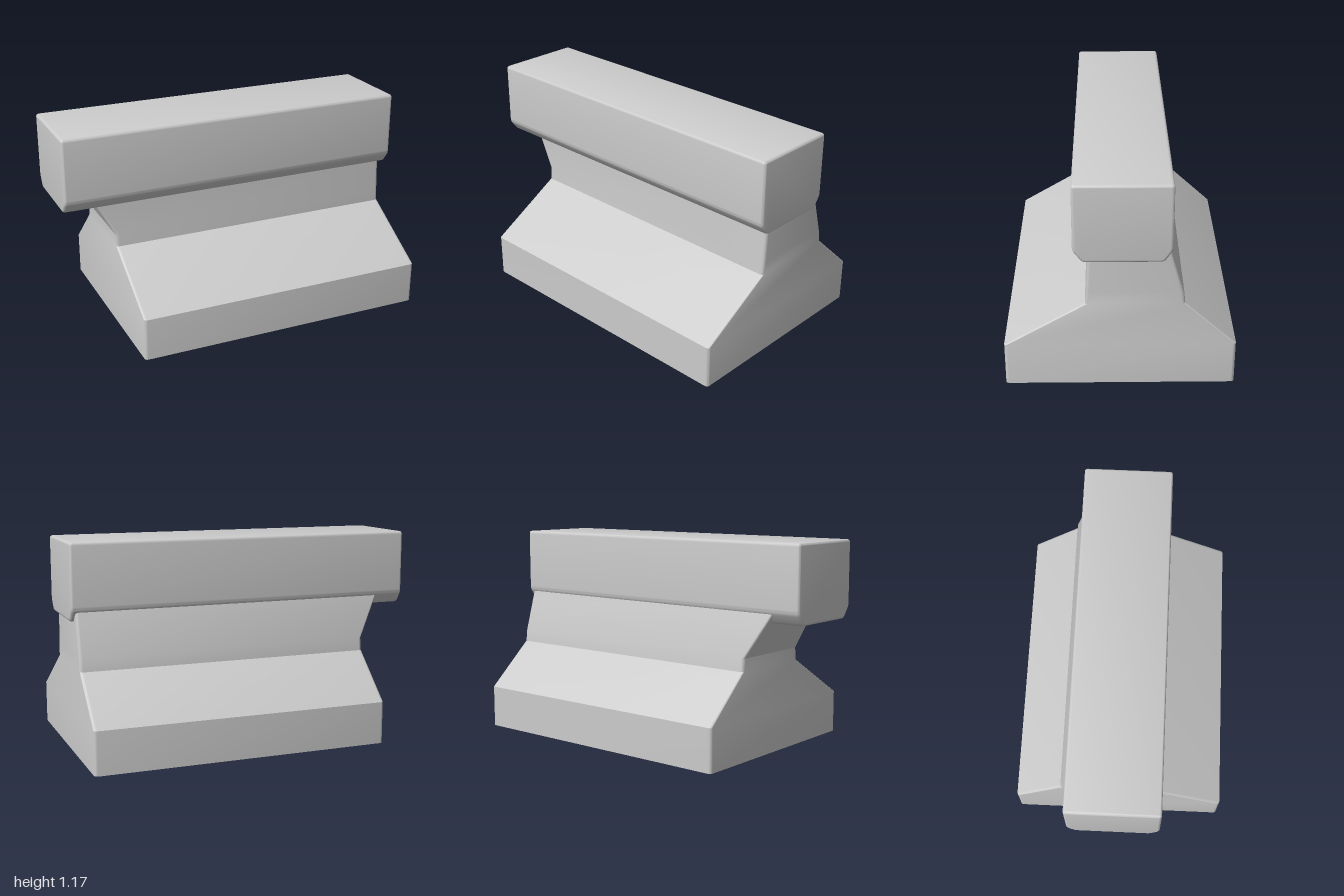
import * as THREE from 'three';
import { toCreasedNormals } from 'three/addons/utils/BufferGeometryUtils.js';

const material = new THREE.MeshStandardMaterial({ color: 0xcccccc });

// Horizontal rounded-rectangle ring at height y, running from +x towards +z
function ring([y, x0, x1, z0, z1], r = 0.018, steps = 4) {
  const centres = [[x1 - r, z1 - r], [x0 + r, z1 - r], [x0 + r, z0 + r], [x1 - r, z0 + r]];
  const points = [];
  centres.forEach(([cx, cz], corner) => {
    for (let i = 0; i <= steps; i++) {
      const a = (corner + i / steps) * Math.PI / 2;
      points.push([cx + r * Math.cos(a), y, cz + r * Math.sin(a)]);
    }
  });
  return points;
}

// Closed solid through a stack of rings
function loft(levels) {
  const rings = levels.map((l) => ring(l));
  const n = rings[0].length;
  const positions = rings.flat(2);
  const index = [];
  for (let k = 0; k < rings.length - 1; k++) {
    for (let i = 0; i < n; i++) {
      const j = (i + 1) % n, a = k * n, b = a + n;
      index.push(a + i, b + i, a + j, a + j, b + i, b + j);
    }
  }
  const top = (rings.length - 1) * n;
  for (let i = 1; i < n - 1; i++) {
    index.push(0, i, i + 1, top, top + i + 1, top + i);
  }
  const geometry = new THREE.BufferGeometry();
  geometry.setAttribute('position', new THREE.Float32BufferAttribute(positions, 3));
  geometry.setIndex(index);
  return toCreasedNormals(geometry, 0.44);
}

// Polygon with every corner softened
function softShape(points, r) {
  const v = points.map((p) => new THREE.Vector2(...p));
  const shape = new THREE.Shape();
  v.forEach((p, i) => {
    const before = v[(i + v.length - 1) % v.length], after = v[(i + 1) % v.length];
    const a = p.clone().add(before.clone().sub(p).setLength(r));
    const b = p.clone().add(after.clone().sub(p).setLength(r));
    if (i === 0) shape.moveTo(a.x, a.y); else shape.lineTo(a.x, a.y);
    shape.quadraticCurveTo(p.x, p.y, b.x, b.y);
  });
  shape.closePath();
  return shape;
}

export function createModel() {
  const group = new THREE.Group();
  const add = (name, geometry) => {
    const mesh = new THREE.Mesh(geometry, material);
    mesh.name = name;
    group.add(mesh);
  };

  // Pedestal: plinth, sloped shoulders and a neck flaring out at one end
  // each level: y, xMin, xMax, zMin, zMax
  add('pedestal', loft([
    [0, -0.705, 0.977, -0.605, 0.605],
    [0.24, -0.705, 0.977, -0.605, 0.605],
    [0.49, -0.705, 0.977, -0.333, 0.181],
    [0.56, -0.705, 0.977, -0.325, 0.177],
    [0.745, -0.808, 0.977, -0.271, 0.166],
    [0.80, -0.838, 0.977, -0.255, 0.163],
  ]));

  // Top beam: long block with chamfered lower edges and softened ends
  const bevel = 0.015;
  const profile = softShape([
    [-0.24, 0.81], [-0.19, 0.745], [0.22, 0.745],
    [0.264, 0.81], [0.264, 1.172], [-0.24, 1.172],
  ], 0.018);
  const beam = new THREE.ExtrudeGeometry(profile, {
    depth: 2 - 2 * bevel, curveSegments: 4, bevelEnabled: true,
    bevelThickness: bevel, bevelSize: bevel, bevelOffset: -bevel, bevelSegments: 4,
  });
  beam.translate(0, 0, bevel - 1).rotateY(Math.PI / 2);
  add('topBeam', toCreasedNormals(beam, 0.6));

  return group;
}
